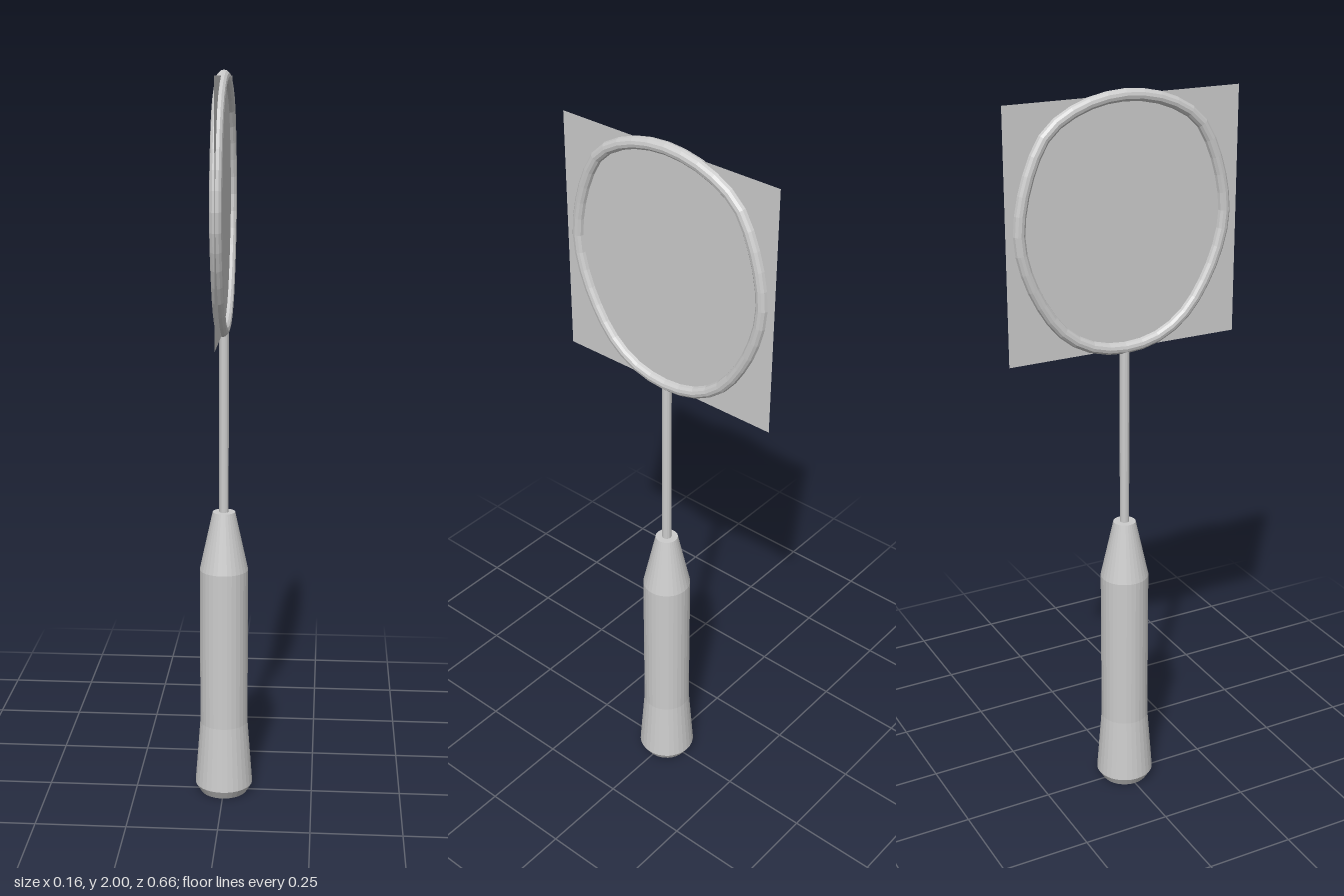
import * as THREE from 'three';

export function createModel() {
  const group = new THREE.Group();
  group.name = 'racket';
  const material = new THREE.MeshStandardMaterial({ color: 0xcccccc, flatShading: true });
  const add = (name, geometry, mat = material) => {
    const mesh = new THREE.Mesh(geometry, mat);
    mesh.name = name;
    group.add(mesh);
    return mesh;
  };

  // Handle: flared butt with chamfer, straight grip, tapered collar
  const profile = [
    [0, 0], [0.066, 0], [0.081, 0.025], [0.067, 0.21],
    [0.067, 0.66], [0.031, 0.825], [0, 0.825],
  ].map(([r, y]) => new THREE.Vector2(r, y));
  add('handle', new THREE.LatheGeometry(profile, 32));

  // Shaft running from the collar to the hoop
  const shaft = add('shaft', new THREE.CylinderGeometry(0.013, 0.013, 0.52, 16));
  shaft.position.y = 1.07;

  // Hoop: one half outline (z, y), mirrored; squarer at the top, tapering below
  const half = [
    [0, 1.984], [0.12, 1.963], [0.213, 1.907], [0.265, 1.81], [0.29, 1.71],
    [0.293, 1.65], [0.28, 1.58], [0.243, 1.49], [0.18, 1.4], [0.1, 1.347], [0, 1.329],
  ];
  const mirrored = half.slice(1, -1).reverse().map(([z, y]) => [-z, y]);
  const outline = [...half, ...mirrored].map(([z, y]) => new THREE.Vector3(0, y, z));
  const path = new THREE.CatmullRomCurve3(outline, true);
  add('hoop', new THREE.TubeGeometry(path, 40, 0.016, 12, true));

  // String bed: a thin square sheet through the hoop
  const sheetMaterial = new THREE.MeshStandardMaterial({ color: 0xcccccc, side: THREE.DoubleSide });
  const strings = add('stringBed', new THREE.PlaneGeometry(0.66, 0.658), sheetMaterial);
  strings.rotation.y = Math.PI / 2;
  strings.position.y = 1.656;

  return group;
}
